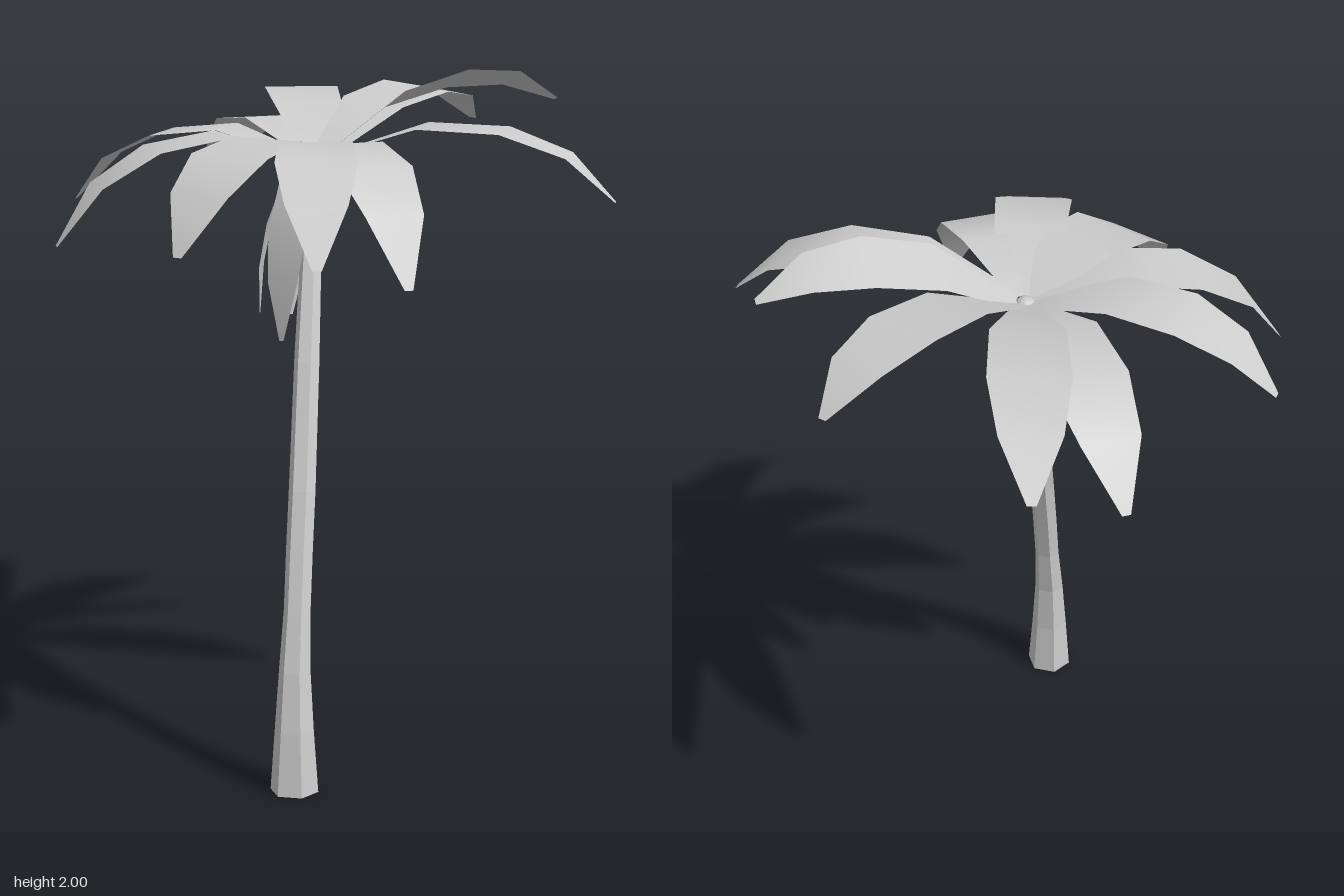
import * as THREE from 'three';

const grey = new THREE.MeshStandardMaterial({ color: 0xcccccc, side: THREE.DoubleSide });
grey.name = 'pale grey';

const crown = new THREE.Vector3(-0.085, 1.76, -0.02);

function addMesh(parent, name, geometry) {
  const mesh = new THREE.Mesh(geometry, grey);
  mesh.name = name;
  parent.add(mesh);
  return mesh;
}

// Six-sided trunk lofted through rings of [x, y, z, radius]
function trunkGeometry() {
  const rings = [
    [-0.5, 0, 0.27, 0.07], [-0.493, 0.18, 0.264, 0.057], [-0.477, 0.35, 0.252, 0.046],
    [-0.445, 0.52, 0.233, 0.039], [-0.41, 0.68, 0.21, 0.039], [-0.37, 0.85, 0.185, 0.039],
    [-0.272, 1.2, 0.115, 0.037], [-0.178, 1.5, 0.047, 0.031], [-0.095, 1.72, -0.015, 0.024],
  ];
  const sides = 6, pos = [], idx = [];
  for (const [x, y, z, r] of rings) {
    for (let i = 0; i < sides; i++) {
      const a = (i / sides) * Math.PI * 2;
      pos.push(x + r * Math.cos(a), y, z + r * Math.sin(a));
    }
  }
  for (let k = 0; k < rings.length - 1; k++) {
    for (let i = 0; i < sides; i++) {
      const a = k * sides + i, b = k * sides + (i + 1) % sides;
      idx.push(a, a + sides, b, b, a + sides, b + sides);
    }
  }
  const top = (rings.length - 1) * sides;
  for (let i = 1; i < sides - 1; i++) {
    idx.push(0, i, i + 1, top, top + i + 1, top + i);
  }
  const g = new THREE.BufferGeometry();
  g.setAttribute('position', new THREE.Float32BufferAttribute(pos, 3));
  g.setIndex(idx);
  const flat = g.toNonIndexed();
  flat.computeVertexNormals();
  return flat;
}

// Leaf blade: an arched strip from the crown to the tip, four segments long.
// The curve bends at height archY, at the fraction reach of the way out.
function leafGeometry(tip, archY, reach, roll, scale) {
  const widths = [0.065, 0.208, 0.227, 0.172, 0.025];
  const lifts = [0, 0.02, 0.005, 0, 0];
  const out = new THREE.Vector3(tip.x - crown.x, 0, tip.z - crown.z);
  const dir = out.clone().normalize();
  const start = crown.clone().addScaledVector(dir, 0.025);
  const bend = crown.clone().addScaledVector(out, reach).setY(archY);
  const curve = new THREE.QuadraticBezierCurve3(start, bend, tip);
  // Across the blade; roll lifts one edge
  const side = new THREE.Vector3(-dir.z, roll, dir.x);
  const pos = [], idx = [];
  widths.forEach((w, k) => {
    const p = curve.getPoint(k / (widths.length - 1));
    for (const s of [-1, 1]) {
      const q = p.clone().addScaledVector(side, s * w * scale / 2);
      pos.push(q.x, q.y + lifts[k], q.z);
    }
    if (k > 0) {
      const a = 2 * k - 2;
      idx.push(a, a + 1, a + 2, a + 1, a + 3, a + 2);
    }
  });
  const g = new THREE.BufferGeometry();
  g.setAttribute('position', new THREE.Float32BufferAttribute(pos, 3));
  g.setIndex(idx.reverse());
  g.computeVertexNormals();
  return g;
}

export function createModel() {
  const palm = new THREE.Group();
  palm.name = 'palmTree';

  addMesh(palm, 'trunk', trunkGeometry());

  // Bud on top of the trunk, and the nuts below it
  const bud = addMesh(palm, 'crownBud', new THREE.SphereGeometry(0.044, 6, 6));
  bud.position.set(-0.085, 1.718, -0.022);
  bud.scale.y = 1.25;
  const nuts = [
    [-0.087, 1.63, 0.037], [-0.03, 1.63, -0.012], [-0.085, 1.655, -0.075], [-0.137, 1.635, -0.01],
  ];
  for (const p of nuts) {
    addMesh(palm, 'coconut', new THREE.SphereGeometry(0.028, 8, 6)).position.set(...p);
  }

  // Leaves: tip x, y, z, bend height, bend reach, edge roll, width scale
  const leaves = [
    [0.26, 1.58, -0.75, 1.97, 0.75, 0, 1],
    [0.565, 1.745, -0.7, 2.05, 0.75, 0, 1],
    [0.745, 1.8, -0.1, 2.06, 0.72, -0.1, 1.05],
    [0.6, 1.9, 0.335, 2.1, 0.65, 0.4, 0.74],
    [0.345, 1.65, 0.745, 1.98, 0.75, 0, 1],
    [-0.395, 1.475, 0.6, 1.93, 0.78, 0, 1],
    [-0.66, 1.55, 0.505, 1.94, 0.75, 0, 1],
    [-0.745, 1.55, 0.07, 1.94, 0.75, 0, 1.15],
    [-0.74, 1.53, -0.42, 1.94, 0.75, 0, 1],
    [-0.41, 1.61, -0.69, 1.94, 0.75, 0, 1],
    // drooping leaves close to the trunk
    [-0.02, 1.265, -0.18, 1.6, 1.05, 0, 0.6],
    [-0.18, 1.295, -0.155, 1.6, 1.05, 0, 0.6],
    [-0.255, 1.24, 0, 1.6, 1.05, 0, 0.6],
  ];
  for (const [x, y, z, archY, reach, roll, scale] of leaves) {
    addMesh(palm, 'leaf', leafGeometry(new THREE.Vector3(x, y, z), archY, reach, roll, scale));
  }
  return palm;
}
